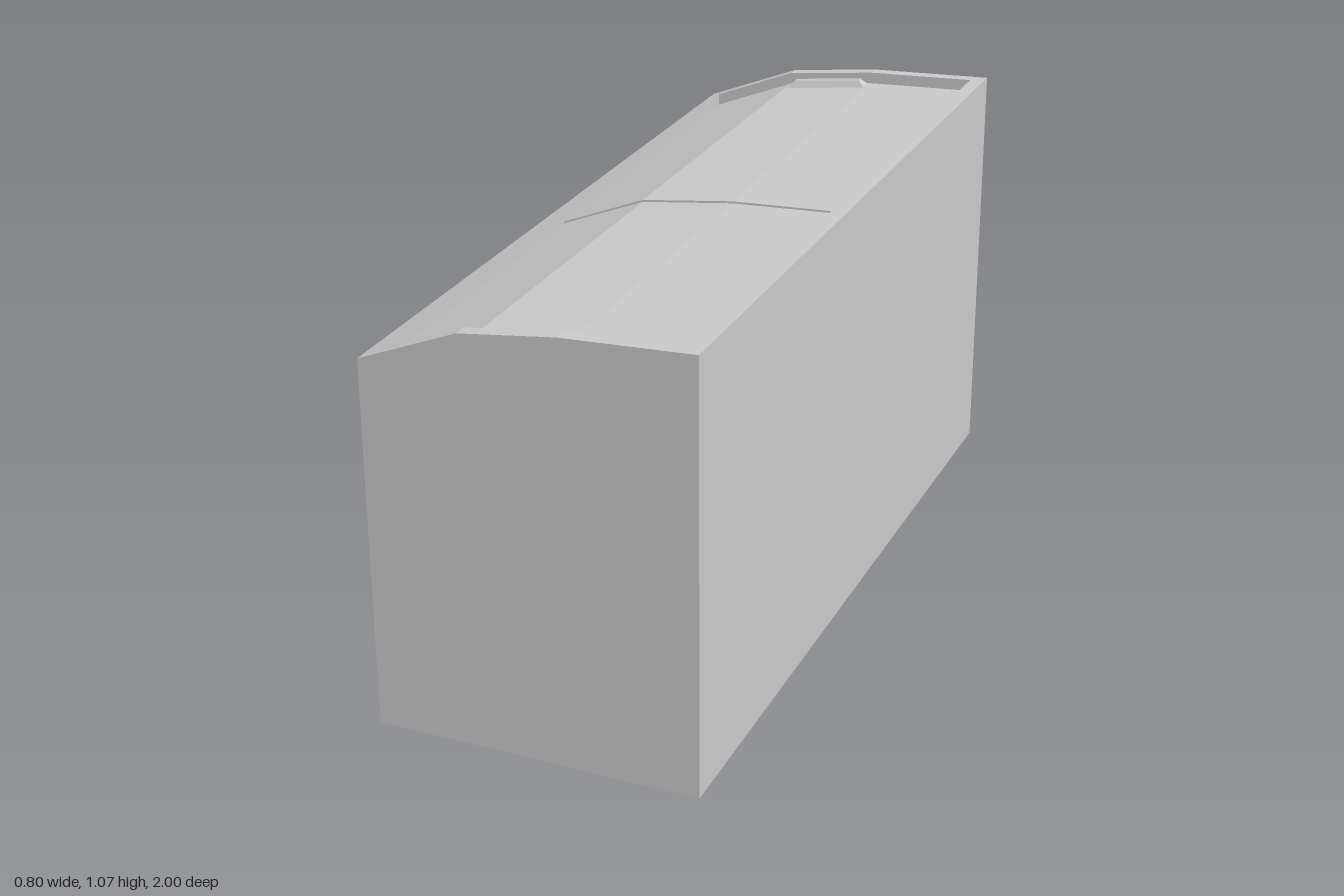
import * as THREE from 'three';

const material = new THREE.MeshStandardMaterial({ color: 0xcccccc, flatShading: true });

// Faceted curve of the top, from the low side to the high side
const crown = [[-0.4, 0.92], [-0.155, 1.02], [0.08, 1.05], [0.4, 1.065]];

function crownY(x) {
  for (let i = 1; i < crown.length; i++) {
    const [x0, y0] = crown[i - 1], [x1, y1] = crown[i];
    if (x <= x1) return y0 + (y1 - y0) * (x - x0) / (x1 - x0);
  }
  return crown[crown.length - 1][1];
}

// Block with a flat base whose top follows the crown, lowered by drop
function crownedBlock(name, x0, x1, z0, z1, drop = 0) {
  const xs = [x0, ...crown.map(p => p[0]).filter(x => x > x0 && x < x1), x1];
  const points = [
    new THREE.Vector2(x0, 0), new THREE.Vector2(x1, 0),
    ...xs.reverse().map(x => new THREE.Vector2(x, crownY(x) - drop)),
  ];
  const geometry = new THREE.ExtrudeGeometry(new THREE.Shape(points), { depth: z1 - z0, bevelEnabled: false });
  geometry.translate(0, 0, z0);
  const mesh = new THREE.Mesh(geometry, material);
  mesh.name = name;
  return mesh;
}

// Low wedge grip on the middle facet: gentle inner slope, steep outer slope, tapered ends
function lidHandle(name, end, drop) {
  const geometry = new THREE.BoxGeometry(1, 1, 1);
  const p = geometry.attributes.position;
  for (let i = 0; i < p.count; i++) {
    const top = p.getY(i) > 0;
    const x = p.getX(i) < 0 ? (top ? -0.13 : -0.155) : (top ? 0.055 : 0.08);
    const outer = p.getZ(i) * end > 0;
    const z = outer ? (top ? 0.953 : 0.963) : (top ? 0.935 : 0.922);
    p.setXYZ(i, x, crownY(x) - drop + (top ? 0.018 : -0.005), z * end);
  }
  geometry.computeVertexNormals();
  const mesh = new THREE.Mesh(geometry, material);
  mesh.name = name;
  return mesh;
}

export function createModel() {
  const group = new THREE.Group();
  group.name = 'chestFreezer';
  const left = -0.37, right = 0.362, back = -0.968, front = 0.965, split = 0.04;
  const frontDrop = 0.035, backDrop = 0.03;

  // Cabinet walls standing proud of the lids
  group.add(
    crownedBlock('frontWall', -0.4, 0.4, front, 1),
    crownedBlock('backWall', -0.4, 0.4, -1, back),
    crownedBlock('lowSideWall', -0.4, left, back, front),
    crownedBlock('highSideWall', right, 0.4, back, front),
  );

  // Two sunken lids closing the chest, each with a grip at its outer end
  group.add(
    crownedBlock('frontLid', left, right, split, front, frontDrop),
    crownedBlock('backLid', left, right, back, split, backDrop),
    lidHandle('frontHandle', 1, frontDrop),
    lidHandle('backHandle', -1, backDrop),
  );
  return group;
}
